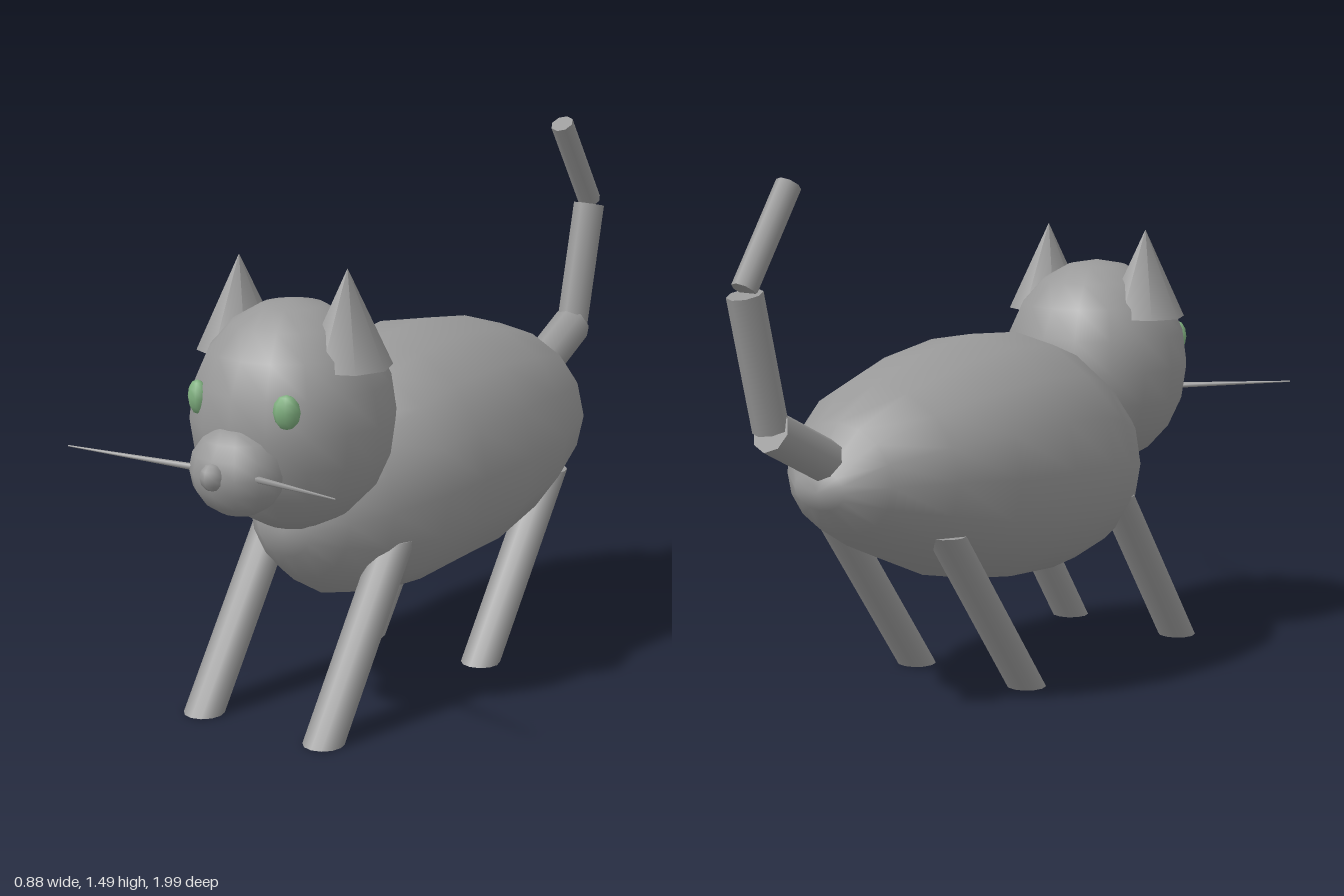
import * as THREE from 'three';

const fur = new THREE.MeshStandardMaterial({ color: 0x999999 });
fur.name = 'grey fur';
const eyeGreen = new THREE.MeshStandardMaterial({ color: 0x80b080 });
eyeGreen.name = 'eye green';

function add(group, name, geometry, material = fur) {
  const mesh = new THREE.Mesh(geometry, material);
  mesh.name = name;
  group.add(mesh);
  return mesh;
}

function ellipsoid(group, name, pos, radii, w, h, material) {
  const mesh = add(group, name, new THREE.SphereGeometry(1, w, h), material);
  mesh.position.set(...pos);
  mesh.scale.set(...radii);
  return mesh;
}

// Tapered cylinder between two points
function rod(group, name, from, to, r0, r1, sides) {
  const a = new THREE.Vector3(...from), b = new THREE.Vector3(...to);
  const dir = b.clone().sub(a);
  const mesh = add(group, name, new THREE.CylinderGeometry(r1, r0, dir.length(), sides));
  mesh.position.copy(a).add(b).multiplyScalar(0.5);
  mesh.quaternion.setFromUnitVectors(new THREE.Vector3(0, 1, 0), dir.normalize());
  return mesh;
}

// Leaning leg: a cylinder sheared so that both ends stay level
function leg(x, footZ, topZ, height) {
  const geo = new THREE.CylinderGeometry(0.057, 0.057, height, 12);
  geo.translate(0, height / 2, 0);
  const shear = new THREE.Matrix4();
  shear.elements[6] = (topZ - footZ) / height;
  geo.applyMatrix4(shear);
  geo.translate(x, 0, footZ);
  return geo;
}

// Body: elliptical rings [z, bottom, top, half width] from chest to rump
function bodyGeometry() {
  const rings = [
    [0.64, 0.46, 0.62, 0.09], [0.57, 0.38, 0.74, 0.17], [0.474, 0.31, 0.85, 0.25],
    [0.32, 0.28, 0.936, 0.325], [0.19, 0.272, 0.984, 0.36], [-0.02, 0.285, 1.0, 0.38],
    [-0.24, 0.335, 0.968, 0.357], [-0.436, 0.42, 0.909, 0.295],
    [-0.59, 0.505, 0.82, 0.19], [-0.67, 0.59, 0.7, 0.09],
  ];
  const n = 16, pos = [], index = [];
  for (const [z, lo, hi, rx] of rings) {
    for (let j = 0; j < n; j++) {
      const a = (j / n) * Math.PI * 2;
      pos.push(rx * Math.cos(a), (lo + hi) / 2 + ((hi - lo) / 2) * Math.sin(a), z);
    }
  }
  const front = rings.length * n, back = front + 1, last = front - n;
  pos.push(0, 0.53, 0.645, 0, 0.64, -0.68);
  for (let j = 0; j < n; j++) {
    const k = (j + 1) % n;
    index.push(front, j, k, back, last + k, last + j);
    for (let i = 0; i < last; i += n) {
      index.push(i + j, i + n + j, i + k, i + k, i + n + j, i + n + k);
    }
  }
  const geo = new THREE.BufferGeometry();
  geo.setAttribute('position', new THREE.Float32BufferAttribute(pos, 3));
  geo.setIndex(index);
  geo.computeVertexNormals();
  return geo;
}

export function createModel() {
  const cat = new THREE.Group();
  cat.name = 'cat';
  add(cat, 'body', bodyGeometry());

  // Head, muzzle and nose
  ellipsoid(cat, 'head', [0, 0.85, 0.59], [0.28, 0.315, 0.28], 16, 10);
  ellipsoid(cat, 'muzzle', [0, 0.747, 0.83], [0.137, 0.122, 0.12], 12, 8);
  ellipsoid(cat, 'nose', [0, 0.753, 0.938], [0.034, 0.038, 0.034], 8, 6);

  // Mirrored parts
  for (const [side, s] of [['left', 1], ['right', -1]]) {
    const eye = ellipsoid(cat, side + 'Eye', [s * 0.147, 0.92, 0.812], [0.037, 0.047, 0.026], 8, 6, eyeGreen);
    eye.rotation.y = s * 0.5;
    const ear = add(cat, side + 'Ear', new THREE.ConeGeometry(0.12, 0.26, 8));
    ear.position.set(s * 0.18, 1.135, 0.587);
    rod(cat, side + 'Whisker', [s * 0.11, 0.753, 0.89], [s * 0.44, 0.783, 1.0], 0.009, 0.002, 6);
    add(cat, side + 'FrontLeg', leg(s * 0.205, 0.745, 0.41, 0.49));
    add(cat, side + 'BackLeg', leg(s * 0.205, -0.022, -0.385, 0.5));
  }

  // Tail in three stiff sections
  rod(cat, 'tailBase', [0, 0.7, -0.6], [0, 0.83, -0.855], 0.06, 0.06, 8);
  rod(cat, 'tailMiddle', [0, 0.834, -0.855], [0, 1.198, -0.945], 0.049, 0.049, 8);
  rod(cat, 'tailTip', [0, 1.21, -0.948], [0, 1.47, -0.775], 0.035, 0.035, 8);
  return cat;
}
